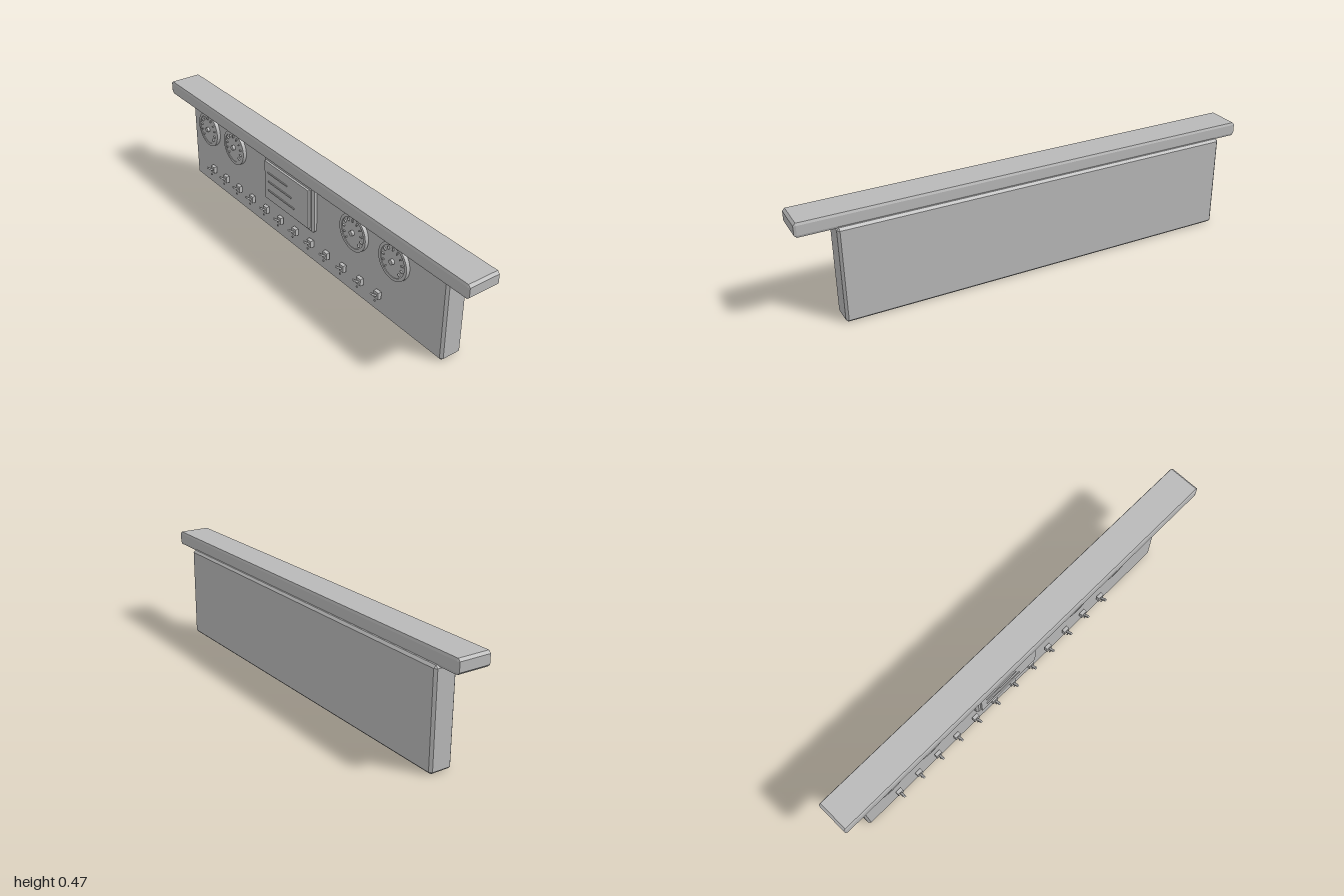
import * as THREE from 'three';
import { ConvexGeometry } from 'three/addons/geometries/ConvexGeometry.js';

const grey = new THREE.MeshStandardMaterial({ color: 0xb8b8b8 });
grey.name = 'panelGrey';

function add(parent, name, geometry, x = 0, y = 0, z = 0) {
  const mesh = new THREE.Mesh(geometry, grey);
  mesh.name = name;
  mesh.position.set(x, y, z);
  parent.add(mesh);
  return mesh;
}

// Box with every edge bevelled; the bevel may differ along each axis
function bevelBox(w, h, d, cx, cy, cz) {
  const points = [];
  for (const i of [-1, 1]) for (const j of [-1, 1]) for (const k of [-1, 1]) {
    const x = w / 2, y = h / 2, z = d / 2;
    points.push(
      new THREE.Vector3(i * x, j * (y - cy), k * (z - cz)),
      new THREE.Vector3(i * (x - cx), j * y, k * (z - cz)),
      new THREE.Vector3(i * (x - cx), j * (y - cy), k * z));
  }
  return new ConvexGeometry(points);
}

// Round dial with a raised rim, an arc of ticks, a hub and a needle
function makeGauge(x) {
  const gauge = new THREE.Group();
  gauge.name = 'gauge';
  gauge.position.set(x, 0.3, 0.02);

  const face = add(gauge, 'gaugeFace', new THREE.CylinderGeometry(0.078, 0.078, 0.014, 40), 0, 0, 0.006);
  face.rotation.x = Math.PI / 2;

  const rimShape = new THREE.Shape().absarc(0, 0, 0.081, 0, Math.PI * 2);
  rimShape.holes.push(new THREE.Path().absarc(0, 0, 0.068, 0, Math.PI * 2, true));
  add(gauge, 'gaugeRim', new THREE.ExtrudeGeometry(rimShape,
    { depth: 0.016, bevelEnabled: false, curveSegments: 40 }));

  const tick = new THREE.BoxGeometry(0.005, 0.013, 0.006);
  for (let i = 0; i < 11; i++) {
    const a = THREE.MathUtils.degToRad(225 - i * 27);
    const mark = add(gauge, 'gaugeTick', tick, 0.056 * Math.cos(a), 0.056 * Math.sin(a), 0.016);
    mark.rotation.z = a - Math.PI / 2;
  }

  const hub = add(gauge, 'gaugeHub', new THREE.CylinderGeometry(0.011, 0.011, 0.014, 20), 0, 0, 0.018);
  hub.rotation.x = Math.PI / 2;
  return gauge;
}

// Toggle switch with a tilted lever and a small lamp below
function makeSwitch(x) {
  const unit = new THREE.Group();
  unit.name = 'toggleSwitch';
  unit.position.set(x, 0.098, 0.032);
  add(unit, 'switchBase', new THREE.BoxGeometry(0.028, 0.032, 0.016));
  const lever = add(unit, 'switchLever', new THREE.BoxGeometry(0.01, 0.008, 0.032), 0, 0.009, 0.021);
  lever.rotation.x = -0.66;
  const lamp = add(unit, 'switchLamp', new THREE.CylinderGeometry(0.005, 0.005, 0.004, 12), 0, -0.023, 0.013);
  lamp.rotation.x = Math.PI / 2;
  return unit;
}

export function createModel() {
  const model = new THREE.Group();
  model.name = 'instrumentPanel';

  // Main board and overhanging top ledge
  add(model, 'board', bevelBox(1.75, 0.412, 0.1, 0.01, 0.01, 0.01), -0.03, 0.206, -0.03);
  add(model, 'topLedge', bevelBox(2, 0.06, 0.145, 0.01, 0.01, 0.004), 0, 0.437, 0.0075);

  // Central display with three raised lines
  add(model, 'displayFrame', bevelBox(0.355, 0.224, 0.03, 0.01, 0.01, 0.008), -0.105, 0.272, 0.025);
  add(model, 'displayScreen', new THREE.BoxGeometry(0.315, 0.182, 0.012), -0.105, 0.272, 0.044);
  [[0.14, 0.315], [0.17, 0.272], [0.19, 0.228]].forEach(([w, y]) =>
    add(model, 'displayLine', new THREE.BoxGeometry(w, 0.006, 0.004), -0.235 + w / 2, y, 0.052));

  for (const x of [-0.755, -0.535, 0.325, 0.565]) model.add(makeGauge(x));
  for (let i = 0; i < 12; i++) model.add(makeSwitch(-0.73 + i * 0.1105));

  return model;
}
